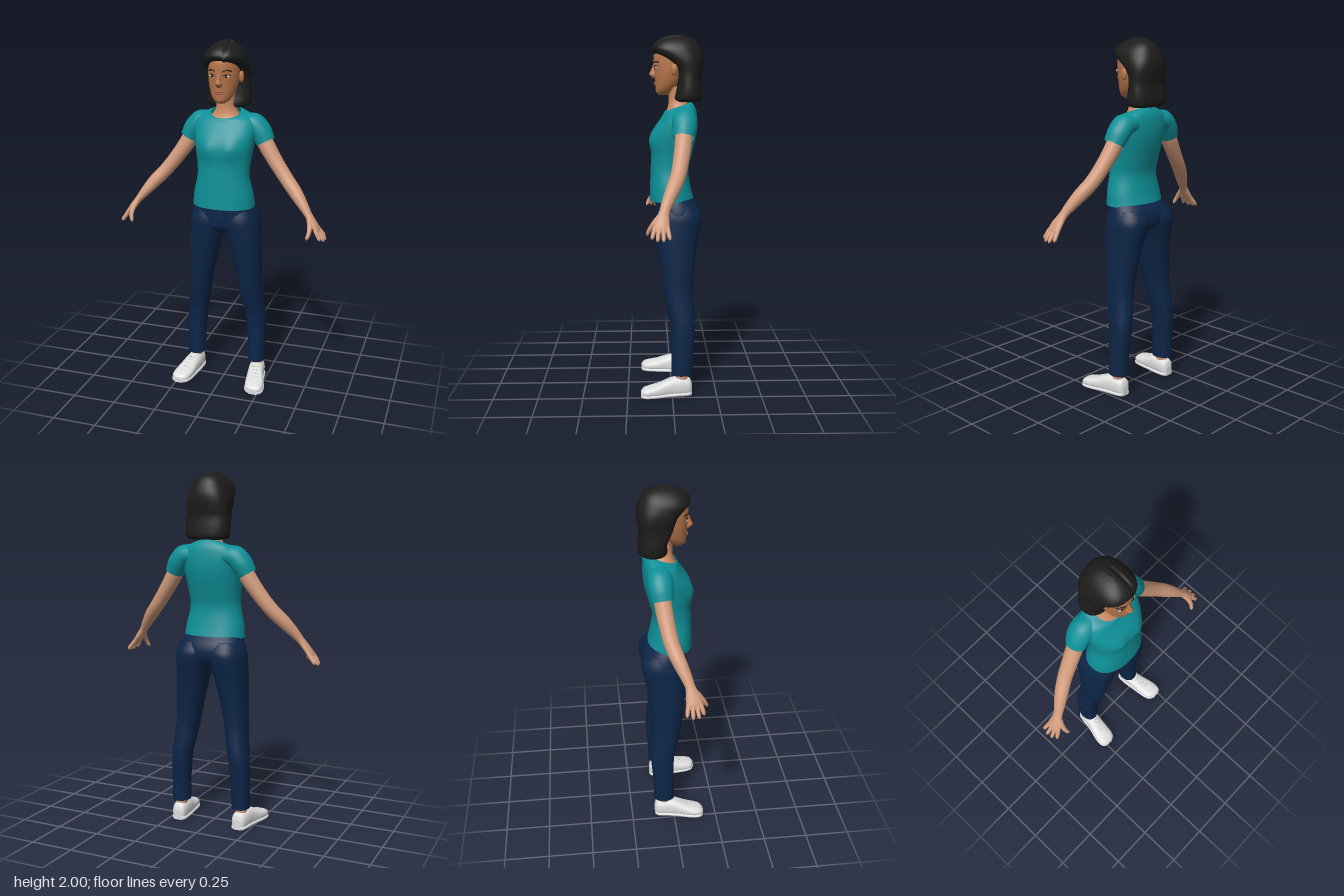
import * as THREE from 'three';

const COLORS = {
  skin: 0xd09a7b, neck: 0xca8a62, face: 0xb5754a, hair: 0x1d1c1b, shirt: 0x0e9098,
  pants: 0x0c2547, shoe: 0xdedede, lips: 0xa05c46, eyeWhite: 0xe8e2da, eyeDark: 0x1e130e,
};

const pow = (s, e) => Math.sign(s) * Math.pow(Math.abs(s), e);

// Smooth skin through a list of rings (arrays of Vector3), with optional end caps
function loft(rings, { steps = 4, caps = true, modify } = {}) {
  const n = rings[0].length, rows = (rings.length - 1) * steps + 1;
  const pos = [], idx = [];
  const columns = rings[0].map((_, j) => new THREE.CatmullRomCurve3(rings.map(r => r[j])));
  for (let i = 0; i < rows; i++) {
    for (let j = 0; j < n; j++) {
      const p = columns[j].getPoint(i / (rows - 1));
      if (modify) modify(p);
      pos.push(p.x, p.y, p.z);
      if (i === rows - 1) continue;
      const k = (j + 1) % n, a = i * n, b = a + n;
      idx.push(a + j, a + k, b + k, a + j, b + k, b + j);
    }
  }
  if (caps) for (const end of [0, rows - 1]) {
    const base = pos.length / 3, c = new THREE.Vector3();
    for (let j = 0; j < n; j++) {
      const p = new THREE.Vector3().fromArray(pos, (end * n + j) * 3);
      c.addScaledVector(p, 1 / n);
      pos.push(p.x, p.y, p.z);
    }
    pos.push(c.x, c.y, c.z);
    for (let j = 0; j < n; j++) {
      const k = (j + 1) % n;
      idx.push(base + n, base + (end ? j : k), base + (end ? k : j));
    }
  }
  const g = new THREE.BufferGeometry();
  g.setAttribute('position', new THREE.Float32BufferAttribute(pos, 3));
  g.setIndex(idx);
  g.computeVertexNormals();
  return g;
}

const ring = (n, fn) => Array.from({ length: n }, (_, j) => {
  const a = j / n * Math.PI * 2;
  return fn(Math.sin(a), Math.cos(a));
});

// Stack of horizontal sections: [y, half width, front z, back z, centre x, tilt]
const stack = (rows, { e = 0.9, n = 36, ...opt } = {}) =>
  loft(rows.map(([y, rx, zf, zb, cx = 0, tilt = 0]) => ring(n, (s, c) => new THREE.Vector3(
    cx + rx * pow(s, e), y + tilt * c, (zf + zb) / 2 + (zf - zb) / 2 * pow(c, e)))), opt);

// Limb along a path: [x, y, z, thickness radius, width radius]
function limb(rows, { n = 20, ...opt } = {}) {
  const pts = rows.map(r => new THREE.Vector3(r[0], r[1], r[2]));
  return loft(rows.map((r, i) => {
    const t = pts[Math.min(i + 1, pts.length - 1)].clone().sub(pts[Math.max(i - 1, 0)]).normalize();
    const v = new THREE.Vector3(0, 0, 1).addScaledVector(t, -t.z).normalize();
    const u = t.clone().cross(v);
    return ring(n, (s, c) => pts[i].clone().addScaledVector(u, r[3] * s).addScaledVector(v, (r[4] ?? r[3]) * c));
  }), opt);
}

// Shoe layer along z: [z, centre x, half width, top y]
const shoeLayer = (rows, bottom, topOf, grow) =>
  loft(rows.map(([z, cx, w, top]) => ring(28, (s, c) => {
    const h = topOf(top) - bottom;
    return new THREE.Vector3(cx - (w + grow) * pow(s, 0.8),
      Math.max(bottom, bottom + h * 0.4 + h * 0.6 * pow(c, 0.8)), z);
  })));

function mirrored(geo) {
  const g = geo.clone().scale(-1, 1, 1);
  const a = g.index.array;
  for (let i = 0; i < a.length; i += 3) [a[i + 1], a[i + 2]] = [a[i + 2], a[i + 1]];
  g.computeVertexNormals();
  return g;
}

const blob = (x, y, z, rx, ry, rz) => new THREE.SphereGeometry(1, 20, 14).scale(rx, ry, rz).translate(x, y, z);
const cord = (pts, r) => new THREE.TubeGeometry(
  new THREE.CatmullRomCurve3(pts.map(p => new THREE.Vector3(...p))), 12, r, 6);

export function createModel() {
  const group = new THREE.Group();
  const mats = {};
  for (const [name, color] of Object.entries(COLORS)) {
    mats[name] = new THREE.MeshStandardMaterial({ color });
    mats[name].name = name;
  }
  mats.shirt.side = THREE.DoubleSide;
  const add = (name, geo, mat) => {
    const m = new THREE.Mesh(geo, mats[mat]);
    m.name = name;
    group.add(m);
  };
  const pair = (name, geo, mat) => {
    add(name + 'Left', geo, mat);
    add(name + 'Right', mirrored(geo), mat);
  };

  // Shirt body with an open neckline and hem
  add('shirtBody', stack([
    [1.088, 0.177, 0.122, -0.128], [1.16, 0.169, 0.12, -0.11], [1.26, 0.147, 0.116, -0.097],
    [1.34, 0.151, 0.113, -0.115], [1.42, 0.163, 0.117, -0.135], [1.48, 0.172, 0.1, -0.145],
    [1.54, 0.176, 0.064, -0.146, 0, -0.005], [1.58, 0.16, 0.045, -0.138, 0, -0.015],
    [1.602, 0.118, 0.038, -0.122, 0, -0.021], [1.61, 0.082, 0.032, -0.11, 0, -0.026],
  ], {
    caps: false, n: 48, modify: p => {
      if (p.z > 0) p.z += 0.014 * Math.exp(-(((Math.abs(p.x) - 0.07) / 0.045) ** 2) - ((p.y - 1.425) / 0.055) ** 2);
    },
  }), 'shirt');
  pair('sleeve', limb([
    [0.1, 1.55, -0.068, 0.058, 0.066], [0.155, 1.542, -0.068, 0.062, 0.068],
    [0.195, 1.5, -0.066, 0.06, 0.066], [0.222, 1.45, -0.06, 0.053, 0.058],
  ], { caps: false, n: 28 }), 'shirt');

  // Trousers
  add('trouserHips', stack([
    [0.93, 0.09, 0.03, -0.09], [0.96, 0.192, 0.078, -0.145], [1.01, 0.199, 0.088, -0.162],
    [1.06, 0.187, 0.09, -0.152], [1.12, 0.16, 0.095, -0.11],
  ]), 'pants');
  pair('trouserLeg', stack([
    [0.117, 0.05, 0.005, -0.115, 0.188], [0.25, 0.052, 0.003, -0.119, 0.187],
    [0.41, 0.058, 0.006, -0.13, 0.177], [0.5, 0.062, 0.028, -0.123, 0.163],
    [0.6, 0.066, 0.048, -0.116, 0.151], [0.75, 0.079, 0.066, -0.128, 0.134],
    [0.87, 0.092, 0.08, -0.146, 0.117], [0.95, 0.102, 0.087, -0.164, 0.103],
    [1.01, 0.106, 0.088, -0.17, 0.094], [1.07, 0.09, 0.07, -0.138, 0.088],
  ]), 'pants');

  // Ankles, shoes, soles and laces
  pair('ankle', stack([
    [0.07, 0.032, -0.015, -0.09, 0.192], [0.1, 0.032, -0.018, -0.088, 0.191], [0.13, 0.034, -0.018, -0.09, 0.19],
  ]), 'skin');
  const shoe = [
    [-0.112, 0.19, 0.02, 0.06], [-0.1, 0.19, 0.037, 0.09], [-0.06, 0.193, 0.045, 0.102],
    [-0.01, 0.198, 0.047, 0.102], [0.03, 0.205, 0.049, 0.09], [0.08, 0.215, 0.054, 0.07],
    [0.13, 0.223, 0.054, 0.057], [0.16, 0.227, 0.044, 0.048], [0.176, 0.229, 0.02, 0.034],
  ];
  pair('shoeUpper', shoeLayer(shoe, 0.012, t => t, 0), 'shoe');
  pair('shoeSole', shoeLayer(shoe, 0, () => 0.024, 0.004), 'shoe');
  for (let i = 0; i < 4; i++) {
    const z = 0.015 + i * 0.022, x = 0.202 + i * 0.005, y = 0.097 - i * 0.0092;
    pair('lace' + (i + 1), cord([[x - 0.026, y - 0.009, z], [x, y + 0.001, z + 0.003], [x + 0.026, y - 0.009, z]], 0.0035), 'shoe');
  }

  // Arms and hands
  pair('arm', limb([
    [0.185, 1.51, -0.065, 0.046], [0.225, 1.435, -0.06, 0.046, 0.047], [0.285, 1.345, -0.046, 0.042, 0.044],
    [0.355, 1.255, -0.025, 0.039, 0.041], [0.415, 1.19, 0.005, 0.037, 0.038], [0.465, 1.13, 0.034, 0.028, 0.031],
    [0.496, 1.09, 0.05, 0.021, 0.027], [0.527, 1.048, 0.061, 0.019, 0.038],
    [0.552, 1.013, 0.066, 0.015, 0.043], [0.563, 0.997, 0.067, 0.008, 0.038],
  ], { n: 28 }), 'skin');
  const tips = [[0.59, 0.965, 0.022], [0.6, 0.957, 0.054], [0.596, 0.957, 0.086], [0.579, 0.966, 0.114]];
  tips.forEach(([x, y, z], i) => {
    const b = [0.547, 1.02, 0.035 + i * 0.021];
    const at = (t, r) => [b[0] + (x - b[0]) * t, b[1] + (y - b[1]) * t, b[2] + (z - b[2]) * t, r];
    pair('finger' + (i + 1), limb([at(0, 0.012), at(0.5, 0.0115), at(0.88, 0.009), at(1, 0.003)], { n: 12 }), 'skin');
  });
  pair('thumb', limb([
    [0.505, 1.075, 0.07, 0.015], [0.518, 1.04, 0.1, 0.0145], [0.518, 1.005, 0.125, 0.0115],
    [0.511, 0.982, 0.136, 0.009], [0.508, 0.973, 0.14, 0.003],
  ], { n: 12 }), 'skin');

  // Neck and head
  add('neck', stack([
    [1.55, 0.11, 0.045, -0.115], [1.575, 0.096, 0.033, -0.112], [1.6, 0.074, 0.021, -0.1],
    [1.64, 0.054, 0.014, -0.09], [1.72, 0.053, 0.016, -0.09],
  ]), 'neck');
  add('head', stack([
    [1.672, 0.02, 0.068, 0.015], [1.686, 0.04, 0.083, -0.005], [1.71, 0.058, 0.087, -0.03],
    [1.75, 0.074, 0.09, -0.07], [1.8, 0.084, 0.094, -0.1], [1.85, 0.086, 0.099, -0.12],
    [1.9, 0.083, 0.094, -0.12], [1.94, 0.068, 0.068, -0.1], [1.965, 0.04, 0.03, -0.06],
  ], { e: 1 }), 'face');
  add('nose', stack([
    [1.762, 0.01, 0.1, 0.07], [1.772, 0.018, 0.112, 0.07], [1.785, 0.019, 0.122, 0.07],
    [1.802, 0.013, 0.115, 0.07], [1.835, 0.01, 0.102, 0.07], [1.86, 0.008, 0.096, 0.07],
  ], { e: 1, n: 20 }), 'face');
  add('earLeft', blob(0.094, 1.81, -0.015, 0.014, 0.032, 0.019).rotateY(0), 'face');
  add('upperLip', blob(0, 1.739, 0.086, 0.024, 0.006, 0.011), 'lips');
  add('lowerLip', blob(0, 1.73, 0.086, 0.02, 0.006, 0.011), 'lips');
  pair('eye', blob(0.04, 1.823, 0.0815, 0.016, 0.0075, 0.008), 'eyeWhite');
  pair('iris', blob(0.039, 1.823, 0.0865, 0.0075, 0.0075, 0.005), 'eyeDark');
  pair('eyelid', cord([[0.023, 1.825, 0.092], [0.04, 1.832, 0.0875], [0.058, 1.826, 0.074]], 0.0028), 'eyeDark');
  pair('eyebrow', cord([[0.02, 1.848, 0.097], [0.042, 1.855, 0.0865], [0.063, 1.848, 0.067]], 0.0035), 'eyeDark');

  // Shoulder-length hair: side parting, swept forward over the right ear
  add('hair', stack([
    [1.636, 0.1, -0.035, -0.15], [1.65, 0.122, -0.015, -0.17], [1.7, 0.127, -0.024, -0.17],
    [1.76, 0.122, -0.03, -0.164], [1.8, 0.12, -0.025, -0.17], [1.84, 0.122, 0.002, -0.175],
    [1.875, 0.12, 0.05, -0.175], [1.905, 0.114, 0.094, -0.168], [1.925, 0.107, 0.107, -0.16],
    [1.95, 0.092, 0.096, -0.148], [1.975, 0.066, 0.066, -0.125], [1.992, 0.036, 0.03, -0.09], [2, 0.012, 0, -0.06],
  ], {
    e: 0.85, n: 64, modify: p => {
      const side = THREE.MathUtils.smoothstep(-p.x, 0.02, 0.09);
      const front = THREE.MathUtils.smoothstep(p.z, -0.11, -0.05);
      p.z += 0.055 * side * front * Math.exp(-(((p.y - 1.8) / 0.085) ** 2));
      if (p.y > 1.9 && p.z > -0.05) p.y -= 0.01 * Math.exp(-(((p.x - 0.03) / 0.01) ** 2));
    },
  }), 'hair');

  return group;
}
